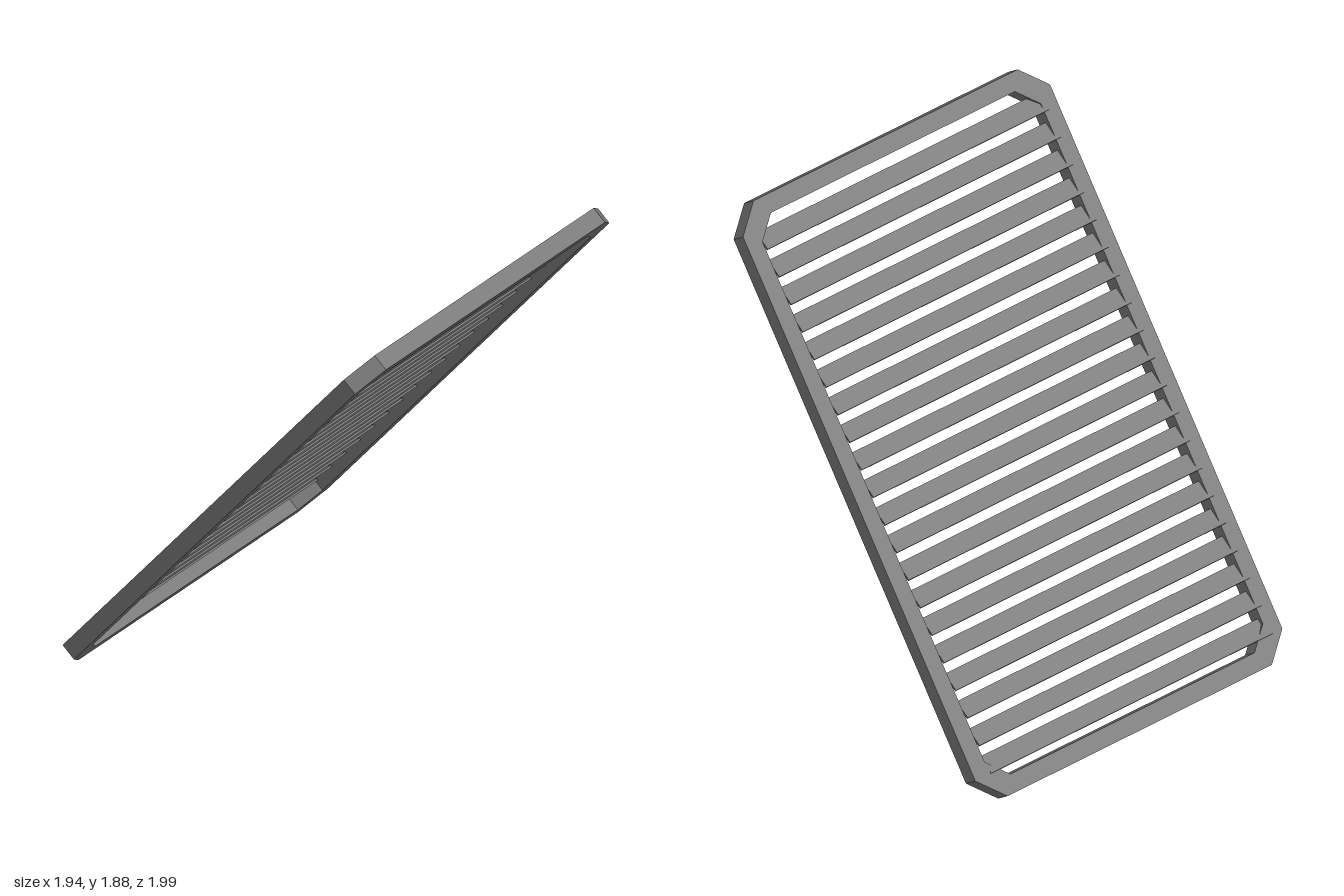
import * as THREE from 'three';

// Half sizes of the frame: long side, short side, thickness
const L = 1.163, W = 0.718, T = 0.033;
const CHAMFER = 0.1, BORDER = 0.067;
const SLATS = 20, PITCH = 0.1077;

// Corners of a rectangle with cut corners
function octagon(a, b, c) {
  return [
    [a, -b + c], [a, b - c], [a - c, b], [-a + c, b],
    [-a, b - c], [-a, -b + c], [-a + c, -b], [a - c, -b],
  ].map(([x, y]) => new THREE.Vector2(x, y));
}

export function createModel() {
  const model = new THREE.Group();
  model.name = 'louvredPanel';
  const material = new THREE.MeshStandardMaterial({ color: 0x747474, flatShading: true });

  // Panel built flat: long side on x, short side on y, thickness on z
  const panel = new THREE.Group();
  panel.name = 'panel';

  // Outer frame with chamfered corners and opening
  const outline = new THREE.Shape(octagon(L, W, CHAMFER));
  outline.holes.push(new THREE.Path(octagon(L - BORDER, W - BORDER, 0.08).reverse()));
  const frameGeometry = new THREE.ExtrudeGeometry(outline, { depth: 2 * T, bevelEnabled: false });
  frameGeometry.translate(0, 0, -T);
  const frame = new THREE.Mesh(frameGeometry, material);
  frame.name = 'frame';
  panel.add(frame);

  // Tilted slats, reaching into the frame on one side
  const from = -0.673, to = 0.646;
  const slatGeometry = new THREE.BoxGeometry(0.073, to - from, 0.008);
  const slats = new THREE.Group();
  slats.name = 'slats';
  for (let i = 0; i < SLATS; i++) {
    const slat = new THREE.Mesh(slatGeometry, material);
    slat.name = 'slat';
    slat.position.set((i - (SLATS - 1) / 2) * PITCH - 0.006, (from + to) / 2, 0.021);
    slat.rotation.y = THREE.MathUtils.degToRad(20);
    slats.add(slat);
  }
  panel.add(slats);

  // Lean the panel over and stand it on the ground
  const u = new THREE.Vector3(0.495, 0.7825, 0.378).normalize();
  const v = new THREE.Vector3(0.5935, 0.024, -0.804);
  v.addScaledVector(u, -v.dot(u)).normalize();
  const n = new THREE.Vector3().crossVectors(u, v);
  panel.quaternion.setFromRotationMatrix(new THREE.Matrix4().makeBasis(u, v, n));
  model.add(panel);
  model.updateMatrixWorld(true);
  panel.position.y = -new THREE.Box3().setFromObject(model, true).min.y;
  return model;
}
